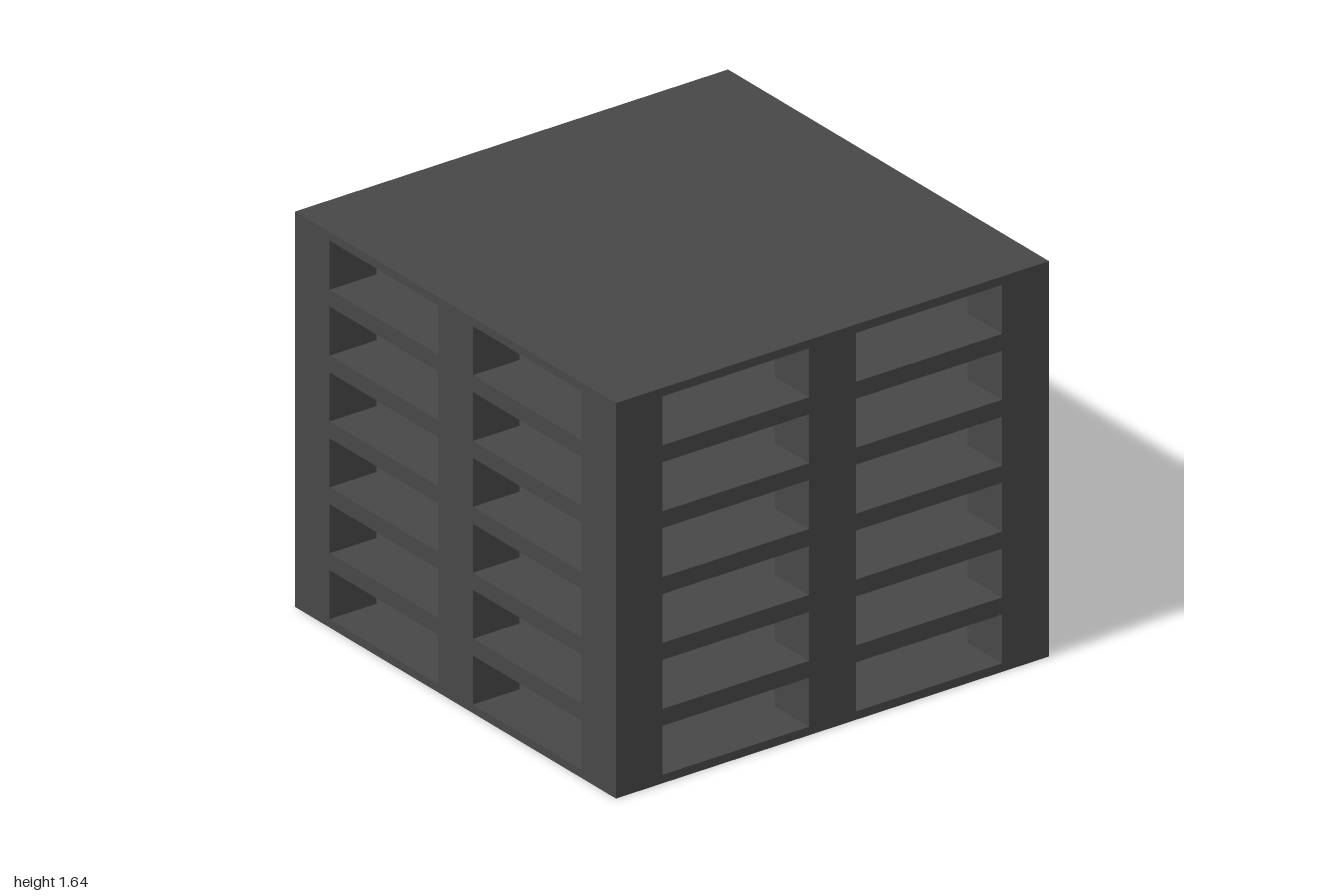
import * as THREE from 'three';

// A stack of six square pallets: solid decks held apart by nine blocks each.
const LEVELS = 6;
const HEIGHT = 1.636;
const PITCH = HEIGHT / LEVELS;   // height of one pallet
const DECK = 0.035;              // thickness of one deck
const BLOCK = 0.216;             // width of a spacer block
const OFFSETS = [-1 + BLOCK / 2, 0, 1 - BLOCK / 2];

export function createModel() {
  const charcoal = new THREE.MeshStandardMaterial({ color: 0x474747 });
  charcoal.name = 'charcoal';

  const stack = new THREE.Group();
  stack.name = 'palletStack';

  // Box placed by its bottom height
  function addBox(parent, name, width, height, x, bottom, z) {
    const mesh = new THREE.Mesh(new THREE.BoxGeometry(width, height, width), charcoal);
    mesh.name = name;
    mesh.position.set(x, bottom + height / 2, z);
    parent.add(mesh);
  }

  // Decks: single at the bottom and top, doubled where two pallets meet
  for (let i = 0; i <= LEVELS; i++) {
    const bottom = i === 0 ? 0 : i * PITCH - DECK;
    const top = i === LEVELS ? HEIGHT : i * PITCH + DECK;
    addBox(stack, 'deck', 2, top - bottom, 0, bottom, 0);
  }

  // Three by three spacer blocks in every pallet
  for (let i = 0; i < LEVELS; i++) {
    const blocks = new THREE.Group();
    blocks.name = 'spacerBlocks';
    for (const x of OFFSETS) {
      for (const z of OFFSETS) {
        addBox(blocks, 'spacerBlock', BLOCK, PITCH - 2 * DECK, x, i * PITCH + DECK, z);
      }
    }
    stack.add(blocks);
  }

  return stack;
}
